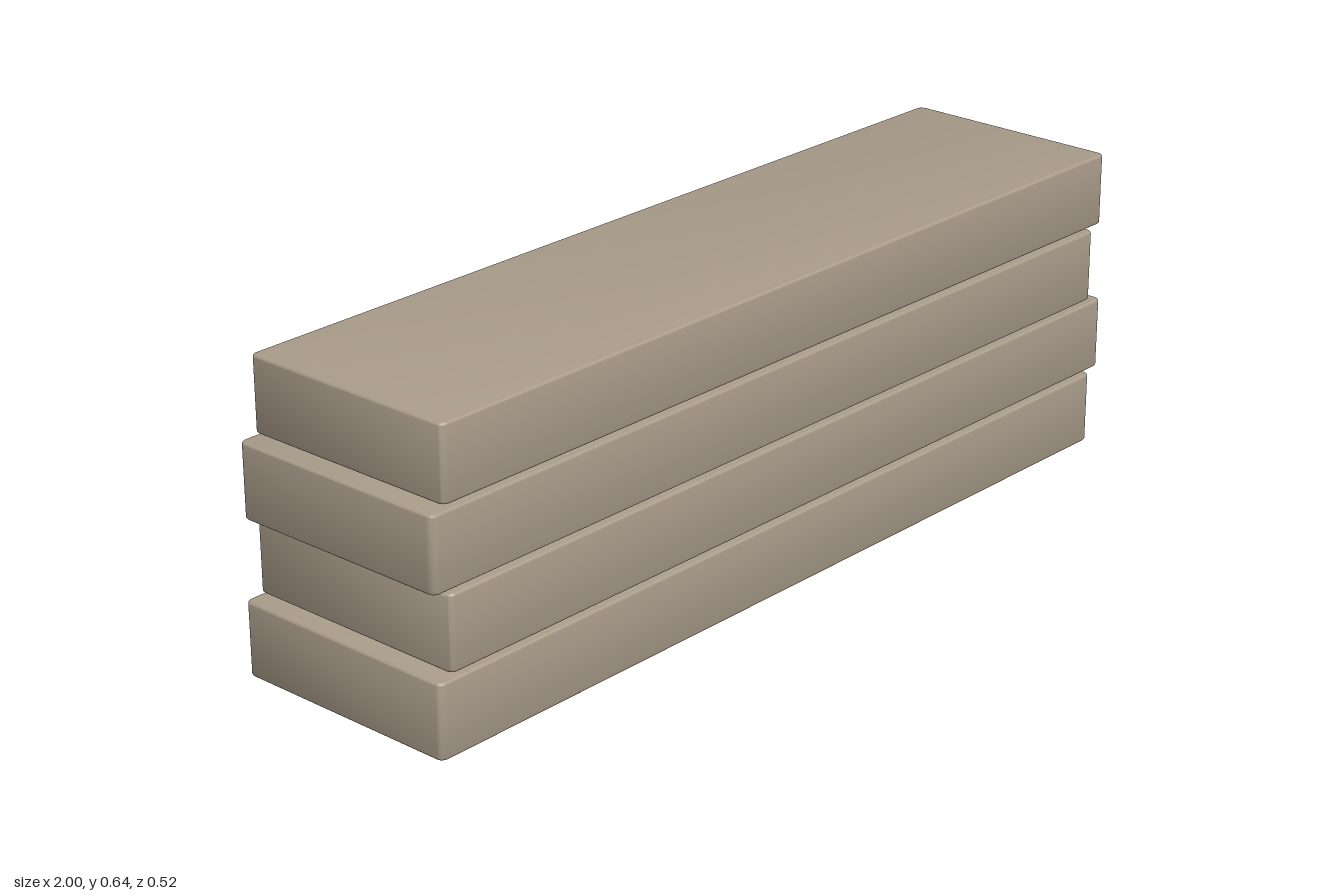
import * as THREE from 'three';
import { toCreasedNormals } from 'three/addons/utils/BufferGeometryUtils.js';

const LENGTH = 1.966, HEIGHT = 0.155, PITCH = 0.163;
const CORNER = 0.016, BEVEL = 0.005;

// Slab with rounded upright corners and finely bevelled rims, resting on y = 0
function slabGeometry(length, height, depth) {
  const x = length / 2 - BEVEL, z = depth / 2 - BEVEL, r = CORNER - BEVEL;
  const outline = new THREE.Shape();
  outline.absarc(x - r, z - r, r, 0, Math.PI / 2);
  outline.absarc(-x + r, z - r, r, Math.PI / 2, Math.PI);
  outline.absarc(-x + r, -z + r, r, Math.PI, Math.PI * 1.5);
  outline.absarc(x - r, -z + r, r, Math.PI * 1.5, Math.PI * 2);
  const geometry = new THREE.ExtrudeGeometry(outline, {
    depth: height - 2 * BEVEL,
    bevelSize: BEVEL,
    bevelThickness: BEVEL,
    bevelSegments: 3,
    curveSegments: 6,
  });
  geometry.rotateX(-Math.PI / 2).translate(0, BEVEL, 0);
  return toCreasedNormals(geometry, 0.7);
}

export function createModel() {
  const model = new THREE.Group();
  model.name = 'slabStack';
  const stone = new THREE.MeshStandardMaterial({ color: 0xa89b89 });
  stone.name = 'warmGreyStone';

  // Four slabs, staggered end to end and slightly narrower towards the top
  for (let i = 0; i < 4; i++) {
    const slab = new THREE.Mesh(slabGeometry(LENGTH, HEIGHT, 0.52 - i * 0.0075), stone);
    slab.name = `slab${i + 1}`;
    slab.position.set(i % 2 ? 0.017 : -0.017, i * PITCH, 0);
    model.add(slab);
  }
  return model;
}
